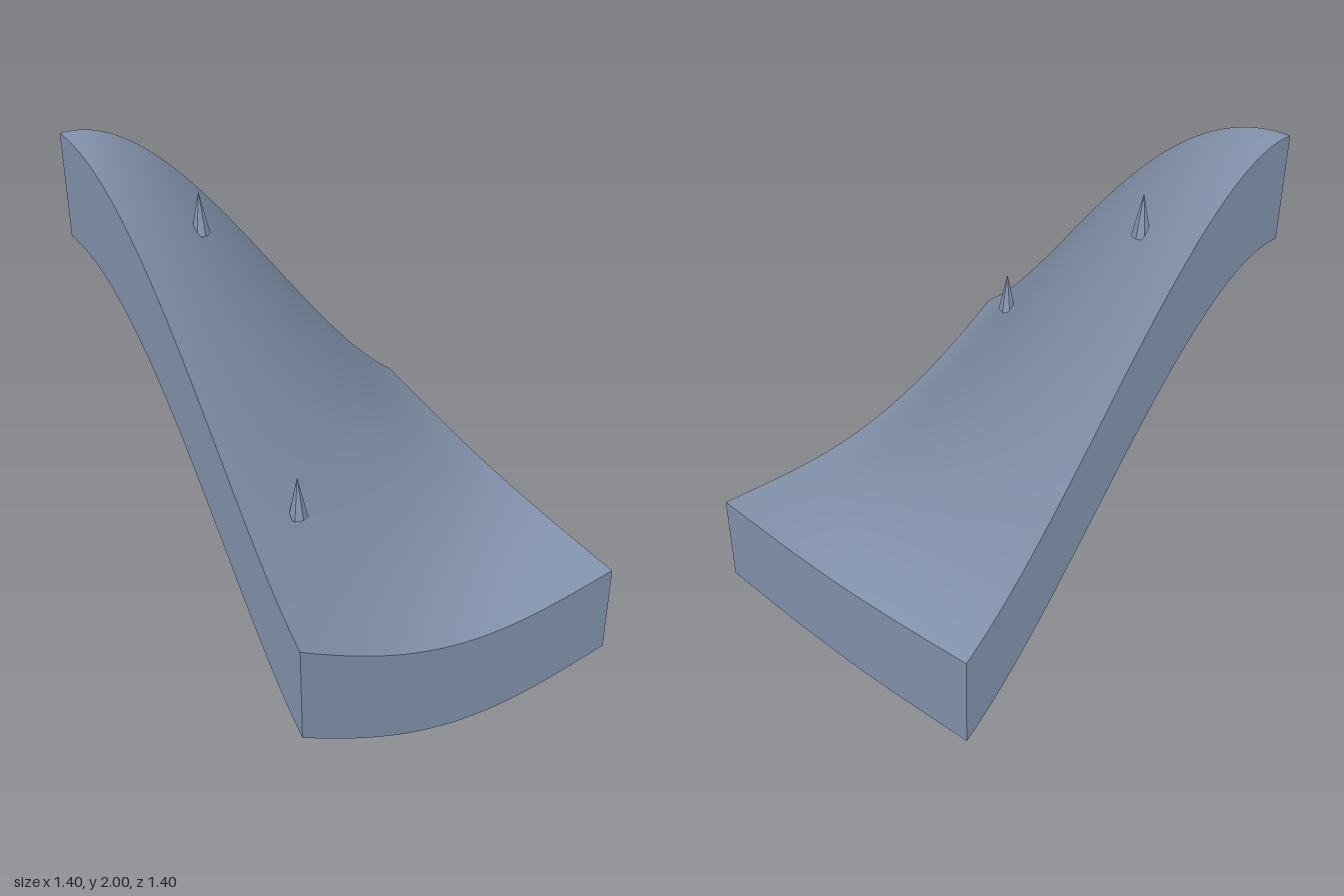
import * as THREE from 'three';

const HALF = 0.7, SKIRT = 0.375, SEG = 48;

// Smooth curve through five evenly spaced heights, t from 0 to 1
const through = (h) => (t) => h.reduce((sum, y, i) => {
  let w = y;
  for (let j = 0; j < 5; j++) if (j !== i) w *= (t * 4 - j) / (i - j);
  return sum + w;
}, 0);

// Heights along the four edges of the tile
const back = through([2.0, 1.84, 1.435, 0.968, 0.598]);
const front = through([0.73, 0.53, 0.41, 0.378, 0.397]);
const left = through([2.0, 1.882, 1.555, 1.11, 0.73]);
const right = through([0.598, 0.525, 0.465, 0.425, 0.397]);
const mix = THREE.MathUtils.lerp;

// Terrain height: blend of the edge curves, slightly hollowed in the middle
function height(x, z) {
  const u = (x + HALF) / (2 * HALF), v = (z + HALF) / (2 * HALF);
  const corners = mix(mix(back(0), back(1), u), mix(front(0), front(1), u), v);
  return mix(left(v), right(v), u) + mix(back(u), front(u), v) - corners
    - 1.4 * u * (1 - u) * v * (1 - v);
}

// Lift every vertex of a geometry by the terrain height
function drape(geometry) {
  const p = geometry.attributes.position;
  for (let i = 0; i < p.count; i++) p.setY(i, p.getY(i) + height(p.getX(i), p.getZ(i)));
  geometry.computeVertexNormals();
  return geometry;
}

export function createModel() {
  const group = new THREE.Group();
  const slate = new THREE.MeshStandardMaterial({ color: 0x8494ae, side: THREE.DoubleSide });
  slate.name = 'slate';
  const rock = new THREE.MeshStandardMaterial({ color: 0x8494ae, flatShading: true });
  rock.name = 'rock';

  const add = (name, geometry, material) => {
    const mesh = new THREE.Mesh(geometry, material);
    mesh.name = name;
    group.add(mesh);
    return mesh;
  };

  // Hillside surface
  const ground = new THREE.PlaneGeometry(2 * HALF, 2 * HALF, SEG, SEG).rotateX(-Math.PI / 2);
  add('hillside', drape(ground), slate);

  // Skirt walls hanging from each edge; the underside stays open
  ['front', 'left', 'back', 'right'].forEach((side, i) => {
    const wall = new THREE.PlaneGeometry(2 * HALF, SKIRT, SEG, 1)
      .translate(0, -SKIRT / 2, HALF).rotateY(i * Math.PI / 2);
    add(side + 'Skirt', drape(wall), slate);
  });

  // Small spikes standing on the slope
  for (const [x, y, z] of [[-0.35, 1.65, -0.41], [-0.47, 0.95, 0.35]]) {
    add('spike', new THREE.ConeGeometry(0.034, 0.156, 7), rock).position.set(x, y + 0.078, z);
  }
  return group;
}
